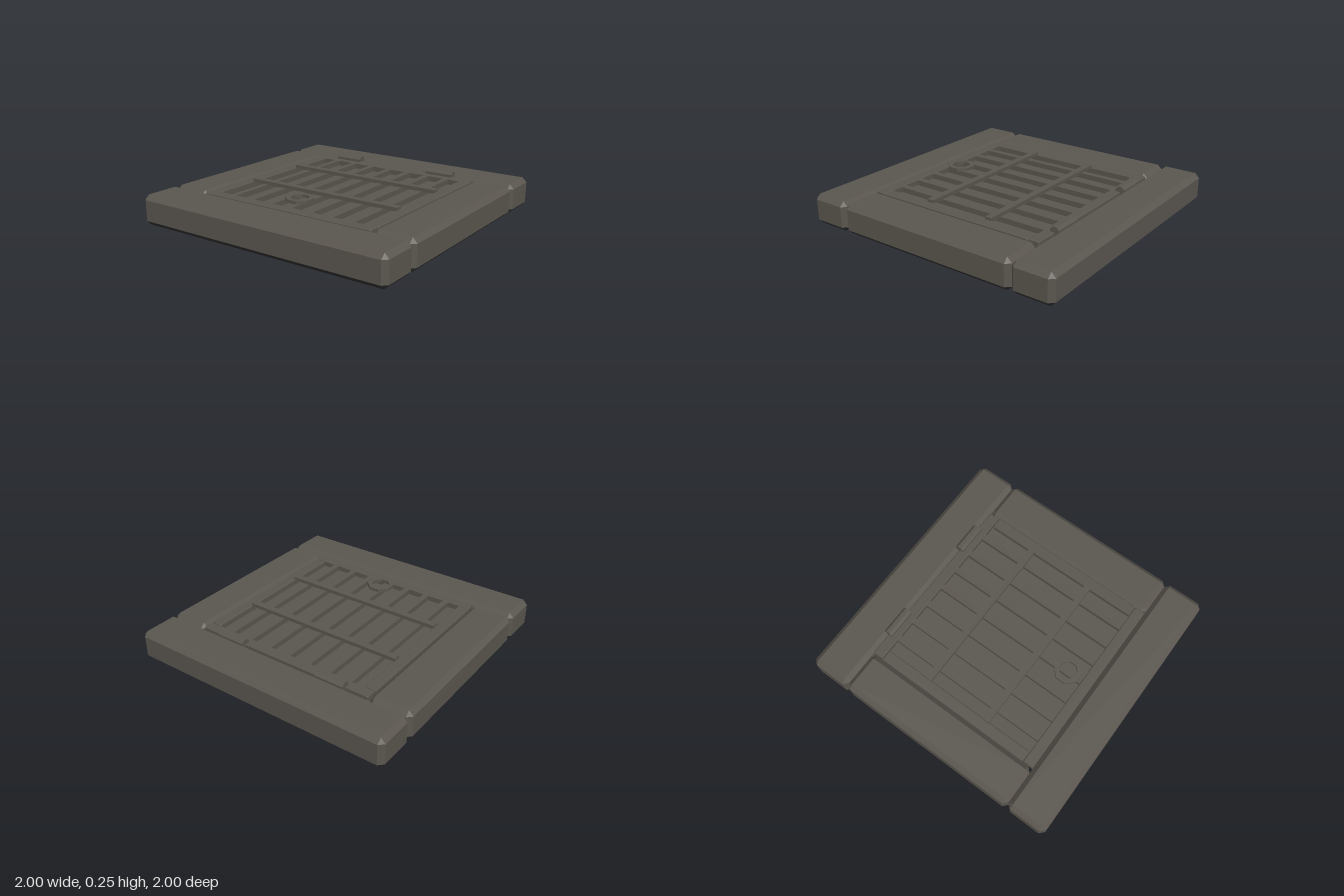
import * as THREE from 'three';
import { ConvexGeometry } from 'three/addons/geometries/ConvexGeometry.js';

// Box with every edge cut at 45 degrees; downward faces use material 1, the rest material 0
function chamferBox(w, h, d, c) {
  const pts = [];
  const [x, y, z] = [w / 2, h / 2, d / 2];
  for (const i of [-1, 1]) for (const j of [-1, 1]) for (const k of [-1, 1]) {
    pts.push(
      new THREE.Vector3(i * x, j * (y - c), k * (z - c)),
      new THREE.Vector3(i * (x - c), j * y, k * (z - c)),
      new THREE.Vector3(i * (x - c), j * (y - c), k * z));
  }
  const geometry = new ConvexGeometry(pts);
  const normal = geometry.attributes.normal;
  for (let i = 0; i < normal.count; i += 3) {
    geometry.addGroup(i, 3, normal.getY(i) < -0.1 ? 1 : 0);
  }
  return geometry;
}

export function createModel() {
  const model = new THREE.Group();
  model.name = 'floorHatch';
  const material = (name, color) => {
    const m = new THREE.MeshStandardMaterial({ color, flatShading: true });
    m.name = name;
    return m;
  };
  const iron = material('darkIron', 0x5a564f);
  const underside = material('blackUnderside', 0x313131);

  const add = (name, geometry, x, y, z, mat = iron) => {
    const mesh = new THREE.Mesh(geometry, mat);
    mesh.name = name;
    mesh.position.set(x, y, z);
    model.add(mesh);
    return mesh;
  };

  // Surrounding kerb: two long beams with two shorter ones between them
  const beam = [iron, underside];
  for (const s of [-1, 1]) {
    add(s > 0 ? 'frontBeam' : 'backBeam', chamferBox(2, 0.22, 0.305, 0.034), 0, 0.11, s * 0.8475, beam);
    add(s > 0 ? 'leftBeam' : 'rightBeam', chamferBox(0.305, 0.22, 1.39, 0.034), s * 0.8475, 0.11, 0, beam);
  }

  // Door plate and its raised rim
  add('doorPlate', new THREE.BoxGeometry(1.385, 0.02, 1.385), 0, 0.162, 0);
  for (const s of [-1, 1]) {
    add('rimEnd', chamferBox(1.385, 0.06, 0.077, 0.005), 0, 0.185, s * 0.6545, [iron, iron]);
    add('rimSide', chamferBox(0.082, 0.06, 1.22, 0.005), s * 0.656, 0.185, 0, [iron, iron]);
  }

  // Ribs along the door
  for (let i = -3; i <= 3; i++) {
    add('rib', new THREE.BoxGeometry(0.044, 0.045, 1.23), i * 0.167, 0.1875, 0);
  }

  for (const s of [-1, 1]) {
    // Cross straps over the ribs
    add('strap', new THREE.BoxGeometry(1.245, 0.027, 0.048), 0, 0.2215, s * 0.25);
    // Hinge barrels
    const hinge = add('hinge', new THREE.CylinderGeometry(0.036, 0.036, 0.22, 8), s * 0.415, 0.22, -0.693);
    hinge.rotation.set(Math.PI / 8, 0, Math.PI / 2);
  }

  // Flat eight-sided pull ring
  const ring = [[0.066, -0.011], [0.1, -0.011], [0.1, 0.011], [0.066, 0.011], [0.066, -0.011]]
    .map(([r, y]) => new THREE.Vector2(r, y));
  add('pullRing', new THREE.LatheGeometry(ring, 8, Math.PI / 8), 0, 0.244, 0.5);

  return model;
}
